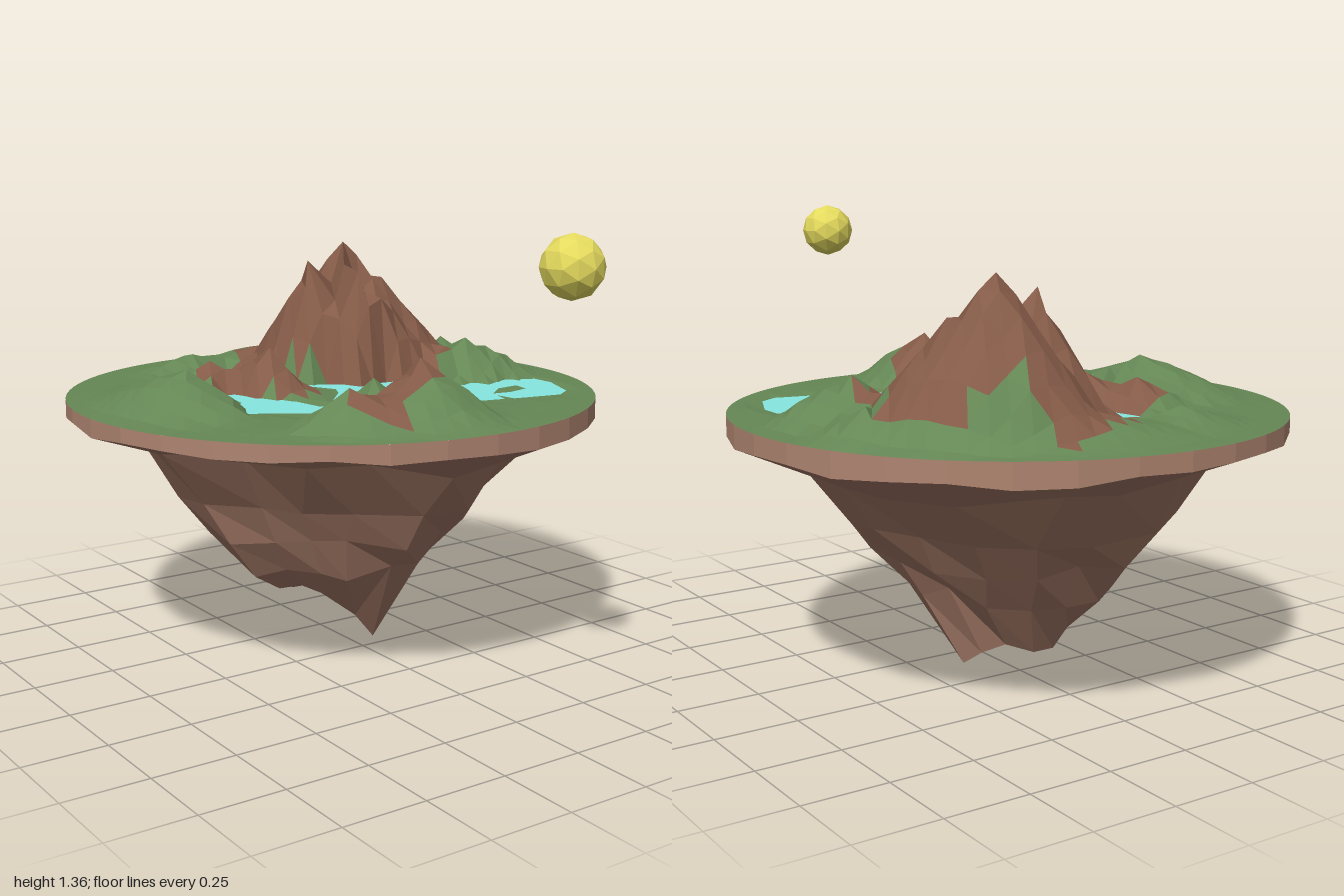
import * as THREE from 'three';

const R = 0.825, CZ = -0.175, TOP = 0.8;

// Peaks: x, z, height above the plateau, then reach to left, right, back and front
const hills = [
  [0.09, -0.45, 0.38, 0.17, 0.4, 0.3, 0.25],
  [0.27, -0.51, 0.43, 0.3, 0.4, 0.36, 0.28],
  [0.2, -0.4, 0.365, 0.22, 0.35, 0.36, 0.26],
  [0.19, -0.3, 0.35, 0.22, 0.35, 0.35, 0.16],
  [0.38, -0.44, 0.31, 0.22, 0.28, 0.35, 0.25],
  [0.15, -0.74, 0.07, 0.45, 0.45, 0.3, 0.2],
  [-0.18, -0.25, 0.14, 0.17, 0.12, 0.25, 0.17],
  [-0.31, -0.4, 0.09, 0.2, 0.16, 0.16, 0.2],
  [-0.02, 0.32, 0.17, 0.25, 0.2, 0.14, 0.36],
  [-0.06, 0.43, 0.13, 0.25, 0.2, 0.15, 0.26],
  [-0.28, 0.34, 0.11, 0.2, 0.3, 0.13, 0.28],
  [-0.52, -0.16, 0.115, 0.32, 0.16, 0.4, 0.35],
  [0.5, -0.13, 0.13, 0.17, 0.32, 0.3, 0.16],
  [0.62, -0.42, 0.09, 0.15, 0.2, 0.25, 0.2],
  [-0.2, -0.72, 0.06, 0.25, 0.2, 0.2, 0.12],
  [-0.03, 0.1, 0.08, 0.1, 0.1, 0.08, 0.1],
];

// Outlines as x, z pairs
const lakes = [
  [[-0.06, -0.27], [0.02, -0.24], [0.1, -0.17], [0.2, -0.16], [0.32, -0.15], [0.38, -0.1], [0.37, -0.02],
    [0.45, 0.02], [0.55, 0.02], [0.64, 0.06], [0.64, 0.14], [0.58, 0.28], [0.52, 0.32], [0.36, 0.29], [0.35, 0.22],
    [0.33, 0.28], [0.24, 0.26], [0.14, 0.2], [0.07, 0.1], [0.06, 0.02], [0, -0.01], [-0.11, 0], [-0.03, -0.09], [0, -0.15]],
  [[-0.34, -0.25], [-0.3, -0.25], [-0.29, -0.16], [-0.22, -0.08], [-0.2, 0.06], [-0.15, 0.12], [-0.16, 0.2],
    [-0.26, 0.15], [-0.36, 0.08], [-0.43, 0.04], [-0.42, -0.04], [-0.36, -0.12]],
  [[-0.2, -0.56], [-0.14, -0.54], [-0.09, -0.45], [-0.09, -0.35], [-0.13, -0.31], [-0.17, -0.42]],
  [[-0.16, -0.66], [-0.12, -0.68], [-0.11, -0.63], [-0.15, -0.6]],
];
const islet = [[0.36, 0.19], [0.43, 0.13], [0.51, 0.12], [0.5, 0.18], [0.42, 0.2]];
const bareRock = [
  [[-0.1, -0.62], [0, -0.78], [0.07, -0.8], [0.3, -0.89], [0.32, -0.7], [0.53, -0.68], [0.62, -0.47], [0.54, -0.4],
    [0.56, -0.22], [0.36, -0.12], [0.1, -0.15], [0.03, -0.25], [-0.08, -0.42]],
  [[-0.38, -0.5], [-0.3, -0.48], [-0.22, -0.56], [-0.17, -0.4], [-0.07, -0.28], [-0.05, -0.12], [-0.2, -0.07],
    [-0.26, -0.15], [-0.3, -0.25], [-0.38, -0.3]],
  [[-0.31, 0.33], [0, 0.24], [0.1, 0.19], [0.13, 0.26], [0.05, 0.38], [-0.15, 0.42], [-0.19, 0.55], [-0.28, 0.47]],
];

// Hanging rock tips: x, z from the axis, then y
const tips = [
  [0.2, -0.07, 0.06], [0.19, 0.04, 0.14], [0.14, 0.1, 0.1], [0.08, 0.115, 0], [0, 0.13, 0.09], [-0.05, 0.11, 0.13],
  [-0.1, 0.09, 0.17], [-0.16, 0.05, 0.2], [-0.2, 0, 0.18], [-0.2, -0.07, 0.2], [-0.15, -0.15, 0.19],
  [-0.09, -0.19, 0.15], [-0.03, -0.2, 0.1], [0.04, -0.2, 0.1], [0.12, -0.17, 0.13], [0.17, -0.12, 0.1],
];

function seeded(seed) {
  return () => {
    seed = (seed * 16807) % 2147483647;
    return seed / 2147483647 - 0.5;
  };
}

function inside(poly, x, z) {
  let hit = false;
  poly.forEach(([ax, az], i) => {
    const [bx, bz] = poly[(i + 1) % poly.length];
    if ((az > z) !== (bz > z) && x < ax + ((z - az) / (bz - az)) * (bx - ax)) hit = !hit;
  });
  return hit;
}

// True on the water and just beside it, so the shore clears the lake bed
function nearWater(x, z) {
  for (let i = -1; i <= 1; i++)
    for (let j = -1; j <= 1; j++)
      if (lakes.some((l) => inside(l, x + i * 0.025, z + j * 0.025))) return true;
  return false;
}

function hillHeight(x, z) {
  let h = 0.008;
  for (const [hx, hz, top, left, right, back, front] of hills) {
    const dx = x - hx, dz = z - hz;
    h = Math.max(h, top * (1 - Math.hypot(dx / (dx < 0 ? left : right), dz / (dz < 0 ? back : front))));
  }
  return h;
}

function meshFrom(points, material, name) {
  const geometry = new THREE.BufferGeometry().setFromPoints(points);
  geometry.computeVertexNormals();
  const mesh = new THREE.Mesh(geometry, material);
  mesh.name = name;
  return mesh;
}

// Square grid pressed into a disc, turned a little, raised into hills
function buildTerrain(grass, rock) {
  const n = 24, turn = -0.35, rand = seeded(11), grid = [];
  for (let i = 0; i <= n; i++) {
    for (let j = 0; j <= n; j++) {
      const u = (2 * i) / n - 1, v = (2 * j) / n - 1;
      const a = u * Math.sqrt(1 - (v * v) / 2) * R, b = v * Math.sqrt(1 - (u * u) / 2) * R;
      const p = new THREE.Vector3(a * Math.cos(turn) - b * Math.sin(turn), TOP, a * Math.sin(turn) + b * Math.cos(turn) + CZ);
      const edge = Math.min(1, (1 - Math.hypot(a, b) / R) * 5);
      const h = hillHeight(p.x, p.z) * edge * (1 + rand() * 0.12);
      p.y = nearWater(p.x, p.z) ? TOP - 0.003 : TOP + h;
      grid.push(p);
    }
  }
  // Pull the nearest grid point onto each summit
  for (const [x, z, h] of hills) {
    const dist = (p) => Math.hypot(p.x - x, p.z - z);
    grid.reduce((best, p) => (dist(p) < dist(best) ? p : best)).set(x, TOP + Math.max(h, hillHeight(x, z)), z);
  }
  const green = [], brown = [];
  const face = (a, b, c) => {
    const x = (a.x + b.x + c.x) / 3, z = (a.z + b.z + c.z) / 3;
    (bareRock.some((p) => inside(p, x, z)) ? brown : green).push(a, b, c);
  };
  for (let i = 0; i < n; i++) {
    for (let j = 0; j < n; j++) {
      const k = i * (n + 1) + j, m = k + n + 1;
      face(grid[k], grid[k + 1], grid[m]);
      face(grid[m], grid[k + 1], grid[m + 1]);
    }
  }
  return [meshFrom(green, grass, 'grassland'), meshFrom(brown, rock, 'mountains')];
}

// Rim wall and faceted underside from loops of points
function buildUnderside(rimMaterial, rockMaterial) {
  const rand = seeded(29), wall = [], rock = [];
  // The rock is pinched at its front right corner and fuller along the other diagonal
  const skew = (a) => {
    const s = Math.sin(2 * a);
    return s > 0 ? 0.1 * s : Math.cos(a) < 0 ? 0.22 * s : -0.05 * s;
  };
  const loop = (count, r, y, wobble, share, tilt) => Array.from({ length: count }, (_, i) => {
    const a = ((i + rand() * wobble * 4) / count) * Math.PI * 2;
    const q = r * (1 + share * skew(a) + rand() * wobble);
    return new THREE.Vector3(Math.cos(a) * q, y - tilt * Math.cos(a) + rand() * wobble * 0.6, Math.sin(a) * q + CZ);
  });
  const bridge = (points, A, B) => A.forEach((a, i) => {
    const k = (i + 1) % A.length;
    points.push(a, A[k], B[i], B[i], A[k], B[k]);
  });
  const upper = loop(32, R, TOP, 0, 0, 0);
  const lower = upper.map((p) => new THREE.Vector3(p.x, 0.742 - p.x * 0.012 + rand() * 0.02, p.z));
  bridge(wall, upper, lower);

  const rings = [[0.58, 0.645, 0.7, 0.03], [0.45, 0.48, 1, 0], [0.375, 0.38, 1, 0], [0.295, 0.27, 1, -0.02]]
    .map(([r, y, share, tilt]) => loop(16, r, y, 0.08, share, tilt));
  rings.push(tips.map(([x, z, y]) => new THREE.Vector3(x, y, z + CZ)));
  rings[0].forEach((a, i) => {
    const b = rings[0][(i + 1) % 16], o = [0, 1, 2].map((k) => lower[(2 * i + k) % 32]);
    rock.push(o[0], o[1], a, a, o[1], b, o[1], o[2], b);
  });
  for (let i = 0; i < rings.length - 1; i++) bridge(rock, rings[i], rings[i + 1]);
  const centre = new THREE.Vector3(0, 0.17, CZ);
  rings.at(-1).forEach((p, i, all) => rock.push(p, all[(i + 1) % 16], centre));
  return [meshFrom(wall, rimMaterial, 'rim'), meshFrom(rock, rockMaterial, 'rockUnderside')];
}

function buildWater(material) {
  const group = new THREE.Group();
  group.name = 'water';
  const flat = (poly) => poly.map(([x, z]) => new THREE.Vector2(x, -z));
  lakes.forEach((poly, i) => {
    const shape = new THREE.Shape(flat(poly));
    if (i === 0) shape.holes.push(new THREE.Path(flat(islet)));
    const mesh = new THREE.Mesh(new THREE.ShapeGeometry(shape).rotateX(-Math.PI / 2), material);
    mesh.position.y = TOP + 0.005;
    mesh.name = ['lake', 'westLake', 'stream', 'pond'][i];
    group.add(mesh);
  });
  return group;
}

export function createModel() {
  const paint = (name, color) => {
    const m = new THREE.MeshStandardMaterial({ color });
    m.name = name;
    m.flatShading = true;
    return m;
  };
  const model = new THREE.Group();
  model.name = 'floatingIsland';
  model.add(...buildTerrain(paint('grass green', 0x658755), paint('mountain brown', 0x855b48)));
  model.add(...buildUnderside(paint('rim brown', 0xae8470), paint('rock brown', 0xa07664)));
  model.add(buildWater(paint('water blue', 0x86e6de)));

  const sun = new THREE.Mesh(new THREE.IcosahedronGeometry(0.086, 1), paint('sun yellow', 0xe4da5e));
  sun.position.set(0.01, 1.275, 0.914);
  sun.name = 'sun';
  model.add(sun);
  return model;
}
